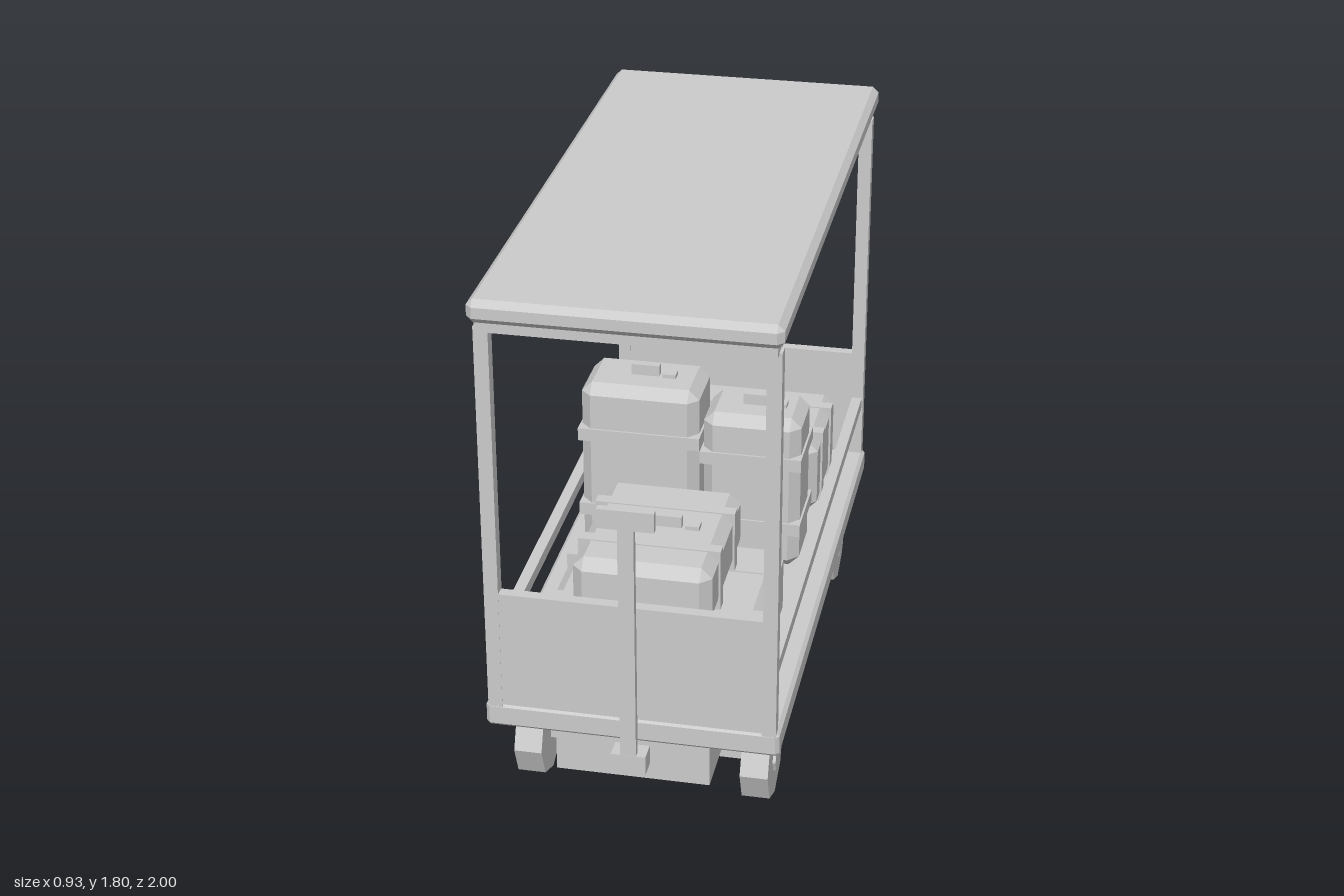
import * as THREE from 'three';
import { ConvexGeometry } from 'three/addons/geometries/ConvexGeometry.js';

const material = new THREE.MeshStandardMaterial({ color: 0xcccccc, flatShading: true });

function add(parent, name, geometry, x = 0, y = 0, z = 0) {
  const mesh = new THREE.Mesh(geometry, material);
  mesh.name = name;
  mesh.position.set(x, y, z);
  parent.add(mesh);
  return mesh;
}

const box = (w, h, d) => new THREE.BoxGeometry(w, h, d);

// Box with all twelve edges cut by c
function chamferBox(w, h, d, c) {
  const points = [];
  for (const sx of [-1, 1]) for (const sy of [-1, 1]) for (const sz of [-1, 1]) {
    for (let axis = 0; axis < 3; axis++) {
      const inset = [0, 1, 2].map((i) => (i === axis ? 0 : c));
      points.push(new THREE.Vector3(
        sx * (w / 2 - inset[0]), sy * (h / 2 - inset[1]), sz * (d / 2 - inset[2])));
    }
  }
  return new ConvexGeometry(points);
}

// Case with two straps, a top handle and a small tag; y is its underside
function addCase(parent, name, x, y, z, w, h, d, { upright = false, handle = 0 }) {
  const group = new THREE.Group();
  group.name = name;
  group.position.set(x, y, z);
  parent.add(group);
  add(group, 'caseBody', chamferBox(w, h, d, 0.035), 0, h / 2, 0);
  const out = 0.014;
  for (const t of [-0.22, 0.22]) {
    if (upright) add(group, 'strap', box(w + out, 0.045, d + out), 0, h / 2 + t * h, 0);
    else add(group, 'strap', box(w + out, h + 0.008, 0.042), 0, h / 2, t * d);
  }
  if (handle) {
    add(group, 'caseHandle', box(handle, 0.04, 0.025), 0, h + 0.018, 0);
    add(group, 'caseTag', box(0.045, 0.016, 0.04), handle / 2 + 0.035, h + 0.006, 0);
  }
}

export function createModel() {
  const cart = new THREE.Group();
  cart.name = 'luggageCart';

  // Base
  add(cart, 'deck', chamferBox(0.93, 0.085, 1.91, 0.012), 0, 0.3575, 0);
  add(cart, 'chassis', box(0.49, 0.15, 1.87), 0, 0.245, 0);

  // Roof with the trim below it
  add(cart, 'roof', chamferBox(0.93, 0.075, 2, 0.02), 0, 1.7625, 0);
  add(cart, 'roofTrim', box(0.89, 0.045, 1.95), 0, 1.715, 0);

  // Posts, end panels and side rails
  for (const end of [-1, 1]) {
    for (const side of [-1, 1]) {
      add(cart, 'post', box(0.045, 1.31, 0.042), side * 0.4325, 1.045, end * 0.935);
    }
    add(cart, 'endPanel', box(0.83, 0.4, 0.036), 0, 0.6, end * 0.937);
  }
  for (const side of [-1, 1]) {
    add(cart, 'sideRail', box(0.036, 0.04, 1.83), side * 0.4325, 0.605, 0);
  }

  // Axles, wheels and hubs
  const wheel = new THREE.CylinderGeometry(0.145, 0.145, 0.09, 8).rotateZ(Math.PI / 2);
  const hub = new THREE.CylinderGeometry(0.054, 0.054, 0.1, 8).rotateZ(Math.PI / 2);
  for (const z of [-0.69, 0.69]) {
    add(cart, 'axle', box(0.7, 0.04, 0.04), 0, 0.145, z);
    for (const side of [-1, 1]) {
      add(cart, 'wheel', wheel, side * 0.367, 0.145, z);
      add(cart, 'hub', hub, side * 0.372, 0.145, z);
    }
  }

  // Upright tow bar
  add(cart, 'towMount', box(0.11, 0.065, 0.065), 0, 0.26, 0.9675);
  add(cart, 'towBar', box(0.05, 0.85, 0.025), 0, 0.7, 0.987);
  add(cart, 'towHandle', box(0.175, 0.065, 0.025), 0, 1.127, 0.987);

  // Luggage
  addCase(cart, 'frontLowerCase', 0.02, 0.4, 0.537, 0.68, 0.245, 0.61, {});
  addCase(cart, 'frontUpperCase', 0, 0.655, 0.53, 0.44, 0.2, 0.55, { handle: 0.155 });
  addCase(cart, 'tallCase', -0.18, 0.4, -0.13, 0.4, 0.645, 0.255, { upright: true, handle: 0.095 });
  addCase(cart, 'mediumCase', 0.195, 0.4, -0.152, 0.33, 0.56, 0.24, { upright: true, handle: 0.09 });
  addCase(cart, 'rearCase', 0.03, 0.4, -0.642, 0.66, 0.27, 0.44, { handle: 0.2 });

  return cart;
}
